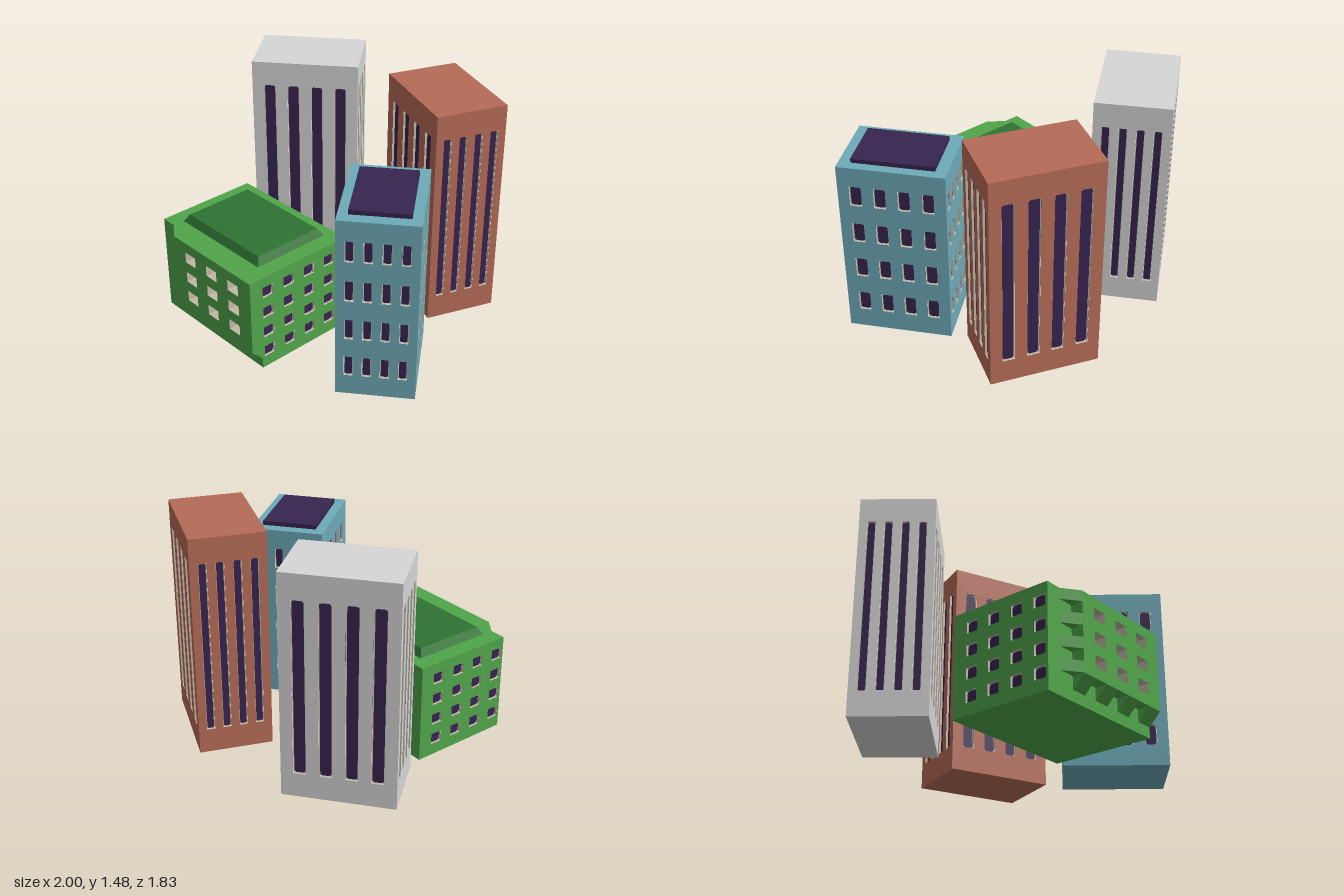
import * as THREE from 'three';

const mat = (name, color, side = THREE.FrontSide) => {
  const m = new THREE.MeshStandardMaterial({ color, side });
  m.name = name;
  return m;
};
const grey = mat('light grey wall', 0xd6d6d6);
const brick = mat('brick wall', 0xb56b56);
const teal = mat('teal wall', 0x6eabb9);
const green = mat('green wall', 0x50a54a);
const roofGreen = mat('dark green roof', 0x2f7333);
const glass = mat('dark purple glass', 0x372450);
const frame = mat('beige frame', 0xc2b8a6);

const RECESS = 0.015;
const poly = (pts) => new THREE.Shape(pts.map(([x, y]) => new THREE.Vector2(x, y)));
const rect = (x0, y0, x1, y1) => [[x0, y0], [x1, y0], [x1, y1], [x0, y1]];

function add(parent, name, geo, material, x = 0, y = 0, z = 0) {
  const m = new THREE.Mesh(geo, material);
  m.name = name;
  m.position.set(x, y, z);
  parent.add(m);
  return m;
}

// Inside-out box without its outer face: the lining of a window opening
function liningGeometry(w, h, d) {
  const g = new THREE.BoxGeometry(w, h, d);
  const src = Array.from(g.index.array);
  const out = [];
  for (let i = 0; i < src.length; i += 3) {
    if (i >= 24 && i < 30) continue;
    out.push(src[i], src[i + 2], src[i + 1]);
  }
  g.clearGroups();
  g.setIndex(out);
  const n = g.attributes.normal;
  for (let i = 0; i < n.array.length; i++) n.array[i] *= -1;
  return g;
}

// Recessed window: beige lining and a pane with clipped corners
function addWindow(parent, x, y, w, h, depth) {
  const win = new THREE.Group();
  win.name = 'window';
  win.position.set(x, y, 0);
  add(win, 'windowLining', liningGeometry(w - 0.002, h - 0.002, depth), frame, 0, 0, -depth / 2);
  const a = w / 2 - 0.005, b = h / 2 - 0.003, c = w * 0.16;
  const pane = poly([[-a + c, -b], [a - c, -b], [a, -b + c], [a, b - c],
    [a - c, b], [-a + c, b], [-a, b - c], [-a, -b + c]]);
  add(win, 'windowPane', new THREE.ShapeGeometry(pane), glass, 0, 0, -depth + 0.003);
  parent.add(win);
}

// Wall shape with window openings cut out; windows are {x, y, w, h}
function pierced(outline, windows) {
  const s = poly(outline);
  for (const { x, y, w, h } of windows) {
    s.holes.push(new THREE.Path(
      rect(x - w / 2, y - h / 2, x + w / 2, y + h / 2).map((p) => new THREE.Vector2(...p))));
  }
  return s;
}

function addWall(parent, name, outline, windows, material, angle, distance) {
  const wall = new THREE.Group();
  wall.name = name;
  wall.rotation.y = angle;
  wall.position.set(Math.sin(angle) * distance, 0, Math.cos(angle) * distance);
  add(wall, name + 'Face', new THREE.ShapeGeometry(pierced(outline, windows)), material);
  for (const { x, y, w, h } of windows) addWindow(wall, x, y, w, h, RECESS);
  parent.add(wall);
}

// Four columns across a wall of the given length, one window per row
function windowGrid(length, rows, h, pitch = 0.2235, width = 0.111) {
  const list = [];
  for (const y of rows)
    for (let i = 0; i < 4; i++)
      list.push({ x: (i - 1.5) * length * pitch, y, w: length * width, h });
  return list;
}

function addCap(parent, name, w, d, y, z, material, up) {
  const g = new THREE.PlaneGeometry(w, d).rotateX(up ? -Math.PI / 2 : Math.PI / 2);
  add(parent, name, g, material, 0, y, z);
}

function tower(name, x, z, angle, w, d, y0, y1, rows, h, material) {
  const g = new THREE.Group();
  g.name = name;
  g.position.set(x, 0, z);
  g.rotation.y = angle;
  ['frontWall', 'leftWall', 'backWall', 'rightWall'].forEach((n, i) => {
    const len = i % 2 ? d : w, dist = (i % 2 ? w : d) / 2;
    addWall(g, n, rect(-len / 2, y0, len / 2, y1), windowGrid(len, rows, h), material, i * Math.PI / 2, dist);
  });
  addCap(g, 'roof', w, d, y1, 0, material, true);
  addCap(g, 'underside', w, d, y0, 0, material, false);
  return g;
}

function greenBlock() {
  const g = new THREE.Group();
  g.name = 'greenBlock';
  g.position.set(-0.328, 0, 0.452);
  g.rotation.y = -0.169;
  const X = 0.476, B = 0.383, F = 0.304, H = 0.65, out = B - F;
  const rows = [0.115, 0.257, 0.4, 0.545], h = 0.073;
  const wide = windowGrid(2 * X, rows, h, 0.218, 0.105);
  const side = windowGrid(2 * B, rows, h, 0.215, 0.105);

  // Main walls; the side wall follows the overhanging front
  addWall(g, 'backWall', rect(-X, 0, X, H), wide, green, Math.PI, B);
  addWall(g, 'leftWall', [[B, 0], [-F, 0], [-F, 0.07], [-B, 0.15], [-B, H], [B, H]], side, green, Math.PI / 2, X);
  addWall(g, 'rightWall', rect(-B, 0, F, H), side, green, -Math.PI / 2, X);
  const shown = wide.filter((w) => w.x > -0.25 && w.y > 0.2);
  add(g, 'frontWall', new THREE.ShapeGeometry(pierced(rect(-X, 0, X, H), shown)), green, 0, 0, F);
  addCap(g, 'roofEdge', 2 * X, B + F, H, (F - B) / 2, green, true);
  addCap(g, 'underside', 2 * X, B + F, 0, (F - B) / 2, green, false);

  // Overhanging front with deep windows
  add(g, 'frontOverhang', new THREE.ExtrudeGeometry(
    pierced(rect(-0.262, 0.15, X, H), shown), { depth: out, bevelEnabled: false }), green, 0, 0, F);
  const front = new THREE.Group();
  front.name = 'frontWindows';
  front.position.z = B;
  for (const { x, y, w, h: wh } of shown) addWindow(front, x, y, w, wh, 0.12);
  g.add(front);

  // Wedge corbels below the overhang and along its side
  const low = poly([[-F, 0.07], [-B, 0.15], [-F, 0.15]]);
  for (const [a, b] of [[-0.262, -0.154], [-0.054, 0.054], [0.154, 0.262], [0.362, X]]) {
    const geo = new THREE.ExtrudeGeometry(low, { depth: b - a, bevelEnabled: false }).rotateY(Math.PI / 2);
    add(g, 'lowerCorbel', geo, green, a);
  }
  const flank = poly([[-0.368, -F], [-0.262, -F], [-0.262, -B]]);
  for (const [a, b] of [[0.15, 0.22], [0.293, 0.363], [0.436, 0.508], [0.582, H]]) {
    const geo = new THREE.ExtrudeGeometry(flank, { depth: b - a, bevelEnabled: false }).rotateX(-Math.PI / 2);
    add(g, 'sideCorbel', geo, green, 0, a);
  }

  // Raised roof with sloping sides
  const roof = new THREE.BoxGeometry(0.736, 0.05, 0.532);
  const p = roof.attributes.position;
  for (let i = 0; i < p.count; i++) {
    if (p.getY(i) > 0) p.setXYZ(i, p.getX(i) * 0.92, p.getY(i), p.getZ(i) * 0.89);
  }
  const flat = roof.toNonIndexed();
  flat.computeVertexNormals();
  add(g, 'raisedRoof', flat, roofGreen, 0, H + 0.025, -0.038);
  return g;
}

export function createModel() {
  const model = new THREE.Group();
  model.name = 'cityBlock';
  const tall = [0.76];
  model.add(tower('greyTower', -0.583, -0.515, 0.513, 0.694, 0.47, 0.04, 1.48, tall, 1.12, grey));
  model.add(tower('brickTower', 0.467, -0.542, -0.541, 0.69, 0.466, 0.04, 1.48, tall, 1.12, brick));
  const rows = [0, 1, 2, 3].map((i) => 0.2025 + i * 0.265);
  const tealTower = tower('tealTower', 0.63, 0.345, 0.503, 0.479, 0.662, 0, 1.195, rows, 0.135, teal);
  add(tealTower, 'roofSlab', new THREE.BoxGeometry(0.356, 0.03, 0.512), glass, 0, 1.208, 0);
  model.add(tealTower);
  model.add(greenBlock());
  return model;
}
